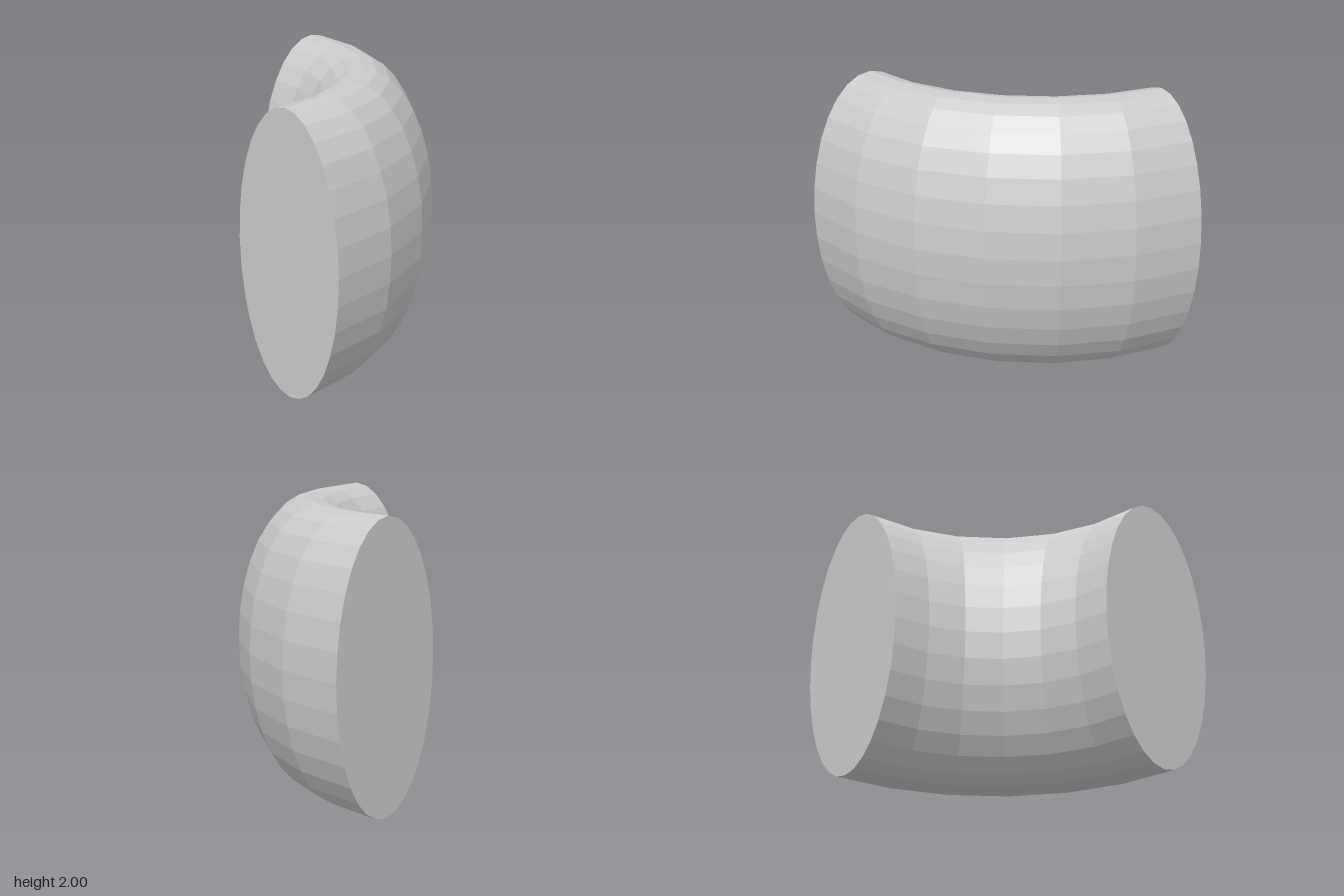
import * as THREE from 'three';

export function createModel() {
  const group = new THREE.Group();
  const material = new THREE.MeshStandardMaterial({ color: 0xcccccc, flatShading: true });
  const sides = 32, steps = 6;

  // Quarter-turn bend with an upright elliptical section, 1 wide and 2 tall
  const bend = new THREE.TorusGeometry(1.5, 0.5, sides, steps, Math.PI / 2);
  bend.scale(1, 1, 2);
  bend.rotateX(Math.PI / 2);
  bend.translate(-1, 1, -1);
  const pipe = new THREE.Mesh(bend, material);
  pipe.name = 'pipeBend';
  group.add(pipe);

  // Flat elliptical end caps
  const addCap = (name, x, z, turn) => {
    const cap = new THREE.Mesh(new THREE.CircleGeometry(1, sides), material);
    cap.name = name;
    cap.scale.set(0.5, 1, 1);
    cap.rotation.y = turn;
    cap.position.set(x, 1, z);
    group.add(cap);
  };
  addCap('backCap', 0.5, -1, Math.PI);
  addCap('rightCap', -1, 0.5, -Math.PI / 2);

  return group;
}
